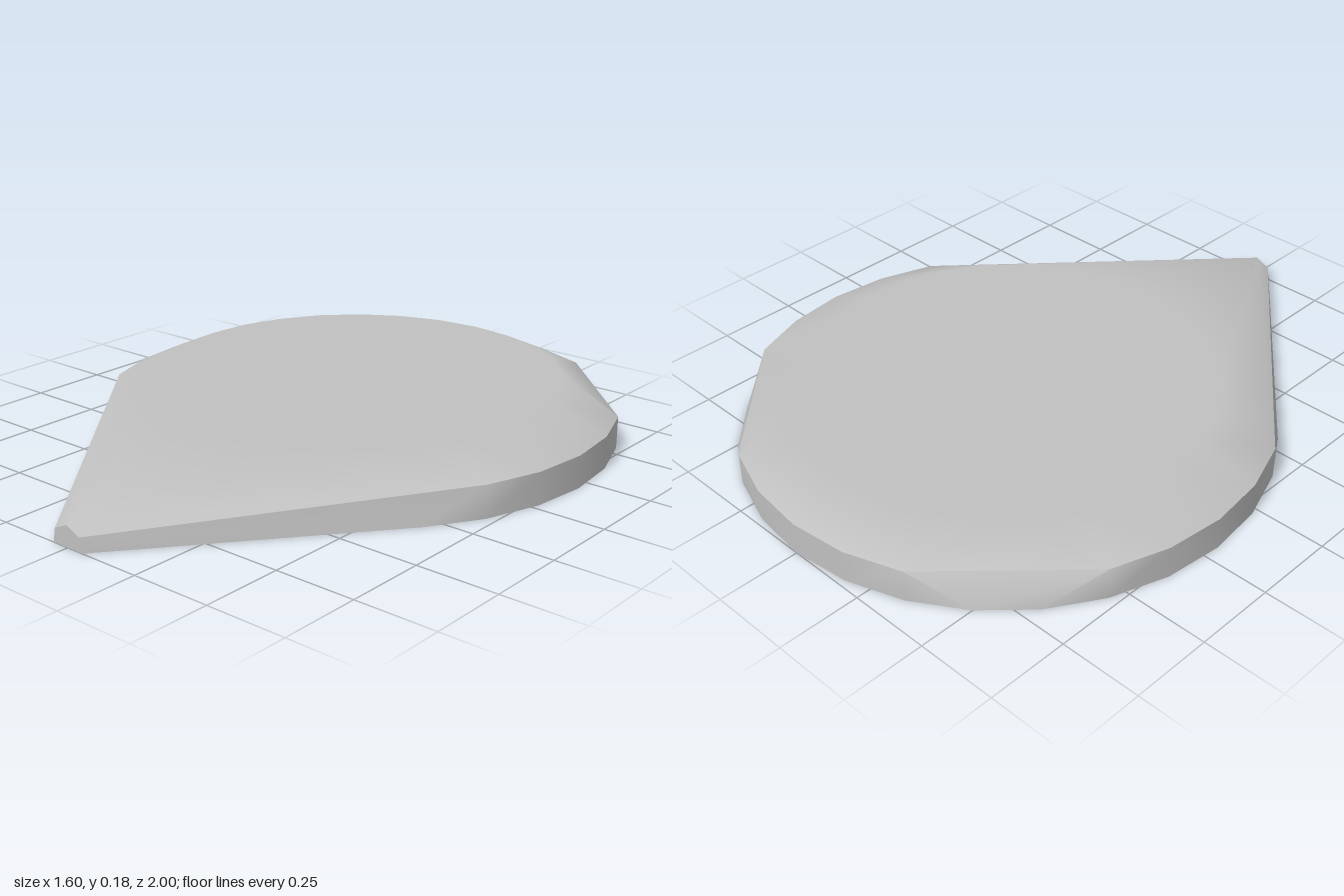
import * as THREE from 'three';
import { ConvexGeometry } from 'three/addons/geometries/ConvexGeometry.js';

const SIDES = 28, CENTRE_Z = -0.2, TOP = 0.178, RIM = 0.1;

// Point on a circle around the round end; step 0 is the back, + goes to +x
function ringPoint(step, radius, y) {
  const a = (step / SIDES) * Math.PI * 2;
  return new THREE.Vector3(Math.sin(a) * radius, y, CENTRE_Z - Math.cos(a) * radius);
}

// Soft normals across shallow edges, sharp ones elsewhere; the flat top stays flat
function softenNormals(geometry, maxAngle) {
  const pos = geometry.attributes.position, nor = geometry.attributes.normal;
  const key = (i) => [pos.getX(i), pos.getY(i), pos.getZ(i)].map((v) => v.toFixed(4)).join();
  const faces = [], around = new Map();
  for (let f = 0; f < pos.count / 3; f++) {
    const [a, b, c] = [0, 1, 2].map((k) => new THREE.Vector3().fromBufferAttribute(pos, f * 3 + k));
    const weighted = b.sub(a).cross(c.sub(a));
    faces.push({ weighted, unit: weighted.clone().normalize() });
    for (let k = 0; k < 3; k++) {
      const id = key(f * 3 + k);
      if (!around.has(id)) around.set(id, []);
      around.get(id).push(f);
    }
  }
  const limit = Math.cos(maxAngle);
  for (let i = 0; i < pos.count; i++) {
    const own = faces[Math.floor(i / 3)].unit, n = new THREE.Vector3();
    if (pos.getY(i) > TOP - 0.001) n.set(0, 1, 0);
    else for (const f of around.get(key(i))) if (faces[f].unit.dot(own) > limit) n.add(faces[f].weighted);
    n.normalize();
    nor.setXYZ(i, n.x, n.y, n.z);
  }
}

export function createModel() {
  const model = new THREE.Group();
  model.name = 'teardropSlab';
  const stone = new THREE.MeshStandardMaterial({ color: 0xc0c0c0 });
  stone.name = 'lightGrey';

  const points = [];
  // Base outline: round end up to where the straight sides begin
  for (let s = -10; s <= 10; s++) points.push(ringPoint(s, 0.8, 0));
  // Upper rim, with a chord cut across each back corner
  for (let s = -9; s <= 9; s++) {
    if (Math.abs(s) === 3 || Math.abs(s) === 4) continue;
    points.push(ringPoint(s, 0.8, RIM));
  }
  // Flat round top
  for (let s = 0; s < SIDES; s++) points.push(ringPoint(s, 0.63, TOP));
  // Blunt five-sided tip at the front
  for (const side of [-1, 1]) {
    points.push(new THREE.Vector3(side * 0.055, 0, 1), new THREE.Vector3(side * 0.047, 0.043, 1));
  }
  points.push(new THREE.Vector3(0, 0.065, 1));

  const geometry = new ConvexGeometry(points);
  softenNormals(geometry, THREE.MathUtils.degToRad(40));
  const body = new THREE.Mesh(geometry, stone);
  body.name = 'slabBody';
  model.add(body);
  return model;
}
